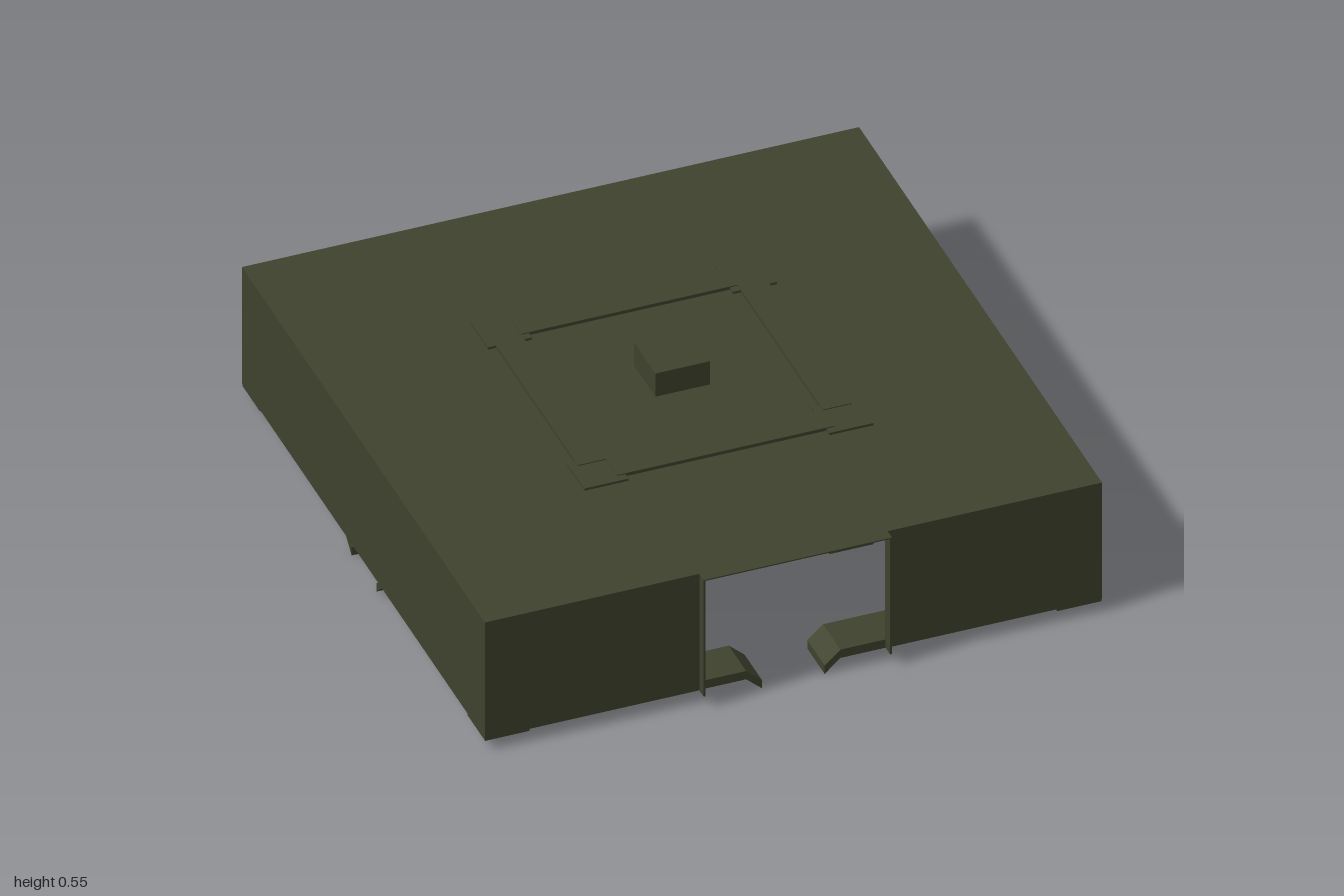
import * as THREE from 'three';

const olive = new THREE.MeshStandardMaterial({ color: 0x3f432e });
olive.name = 'dark olive';

const HALF = 0.9825;   // half width of the hall
const BASE = 0.045;    // bottom of the walls
const ROOF = 0.467;    // top of the roof
const SHEET = 0.008;   // wall and roof thickness
const COLUMN = 0.39;   // column distance from the centre lines

function add(parent, name, geometry, x = 0, y = 0, z = 0) {
  const mesh = new THREE.Mesh(geometry, olive);
  mesh.name = name;
  mesh.position.set(x, y, z);
  parent.add(mesh);
  return mesh;
}

// Box given by its minimum and maximum corners
function box(parent, name, x0, x1, y0, y1, z0, z1) {
  return add(parent, name, new THREE.BoxGeometry(x1 - x0, y1 - y0, z1 - z0),
    (x0 + x1) / 2, (y0 + y1) / 2, (z0 + z1) / 2);
}

function extrude(points, depth) {
  const shape = new THREE.Shape(points.map(([x, y]) => new THREE.Vector2(x, y)));
  return new THREE.ExtrudeGeometry(shape, { depth, bevelEnabled: false });
}

// Floor ledge with its inner end bent down into a ramp
function ledge(parent, side) {
  const profile = [[0.84, 0.075], [0.15, 0.075], [0.1, 0.03], [0.1, 0], [0.15, BASE], [0.84, BASE]];
  add(parent, 'floorLedge', extrude(profile.map(([x, y]) => [x * side, y]), HALF - 0.84 - 0.002), 0, 0, 0.84);
}

// Beam with a shallow arched underside, spanning two columns
function archBeam(parent) {
  const points = [[-0.345, 0.478], [0.345, 0.478]];
  for (let i = 0; i <= 20; i++) {
    const x = 0.345 - 0.69 * i / 20;
    points.push([x, 0.442 - 0.46 * x * x]);
  }
  add(parent, 'archBeam', extrude(points, 0.09), 0, 0, COLUMN - 0.045);
}

function column(parent) {
  const c = COLUMN;
  const block = (name, r, y0, y1) => box(parent, name, c - r, c + r, y0, y1, c - r, c + r);
  block('columnBase', 0.07, 0.036, 0.075);
  block('columnShaft', 0.045, 0.075, 0.44);
  block('columnCapital', 0.07, 0.44, 0.475);
}

export function createModel() {
  const model = new THREE.Group();
  model.name = 'pillaredHall';
  const hall = new THREE.Group();
  hall.name = 'hall';
  hall.position.z = -0.0175;
  model.add(hall);

  // Four matching sides, the first with the doorway
  for (let i = 0; i < 4; i++) {
    const side = new THREE.Group();
    side.name = ['frontSide', 'leftSide', 'backSide', 'rightSide'][i];
    side.rotation.y = i * Math.PI / 2;
    hall.add(side);

    if (i === 0) {
      for (const s of [-1, 1]) {
        const wall = box(side, 'frontWall', 0.3, HALF, BASE, ROOF, HALF - SHEET, HALF);
        wall.position.x *= s;
        const jamb = box(side, 'doorJamb', 0.294, 0.3, BASE, ROOF, HALF - SHEET, 1.0175);
        jamb.position.x *= s;
      }
      box(side, 'doorLintel', -0.3, 0.3, ROOF - 0.004, ROOF, HALF, 1.0175);
    } else {
      box(side, 'wall', -HALF, HALF, BASE, ROOF, HALF - SHEET, HALF);
      // Round raised panel on the inner wall
      const disc = new THREE.CylinderGeometry(0.097, 0.097, 0.03, 40).rotateX(Math.PI / 2);
      add(side, 'roundPanel', disc, 0, 0.24, HALF - SHEET - 0.015);
    }

    ledge(side, 1);
    ledge(side, -1);
    archBeam(side);
    column(side);
    box(side, 'cornerTile', 0.84, HALF - 0.001, 0.037, 0.078, 0.84, HALF - 0.001);
  }

  // Roof sheet with a square opening below the lantern
  const r = 0.087;
  const square = (h) => [[-h, -h], [h, -h], [h, h], [-h, h]].map(([x, y]) => new THREE.Vector2(x, y));
  const roofShape = new THREE.Shape(square(HALF));
  roofShape.holes.push(new THREE.Path(square(r - SHEET).reverse()));
  const roof = new THREE.ExtrudeGeometry(roofShape, { depth: SHEET, bevelEnabled: false });
  add(hall, 'roof', roof.rotateX(-Math.PI / 2), 0, ROOF - SHEET, 0);

  // Hollow lantern
  const lanternShape = new THREE.Shape(square(r));
  lanternShape.holes.push(new THREE.Path(square(r - SHEET).reverse()));
  const lantern = new THREE.ExtrudeGeometry(lanternShape, { depth: 0.55 - ROOF, bevelEnabled: false });
  add(hall, 'lanternWalls', lantern.rotateX(-Math.PI / 2), 0, ROOF, 0);
  box(hall, 'lanternCap', -r, r, 0.542, 0.551, -r, r);

  return model;
}
